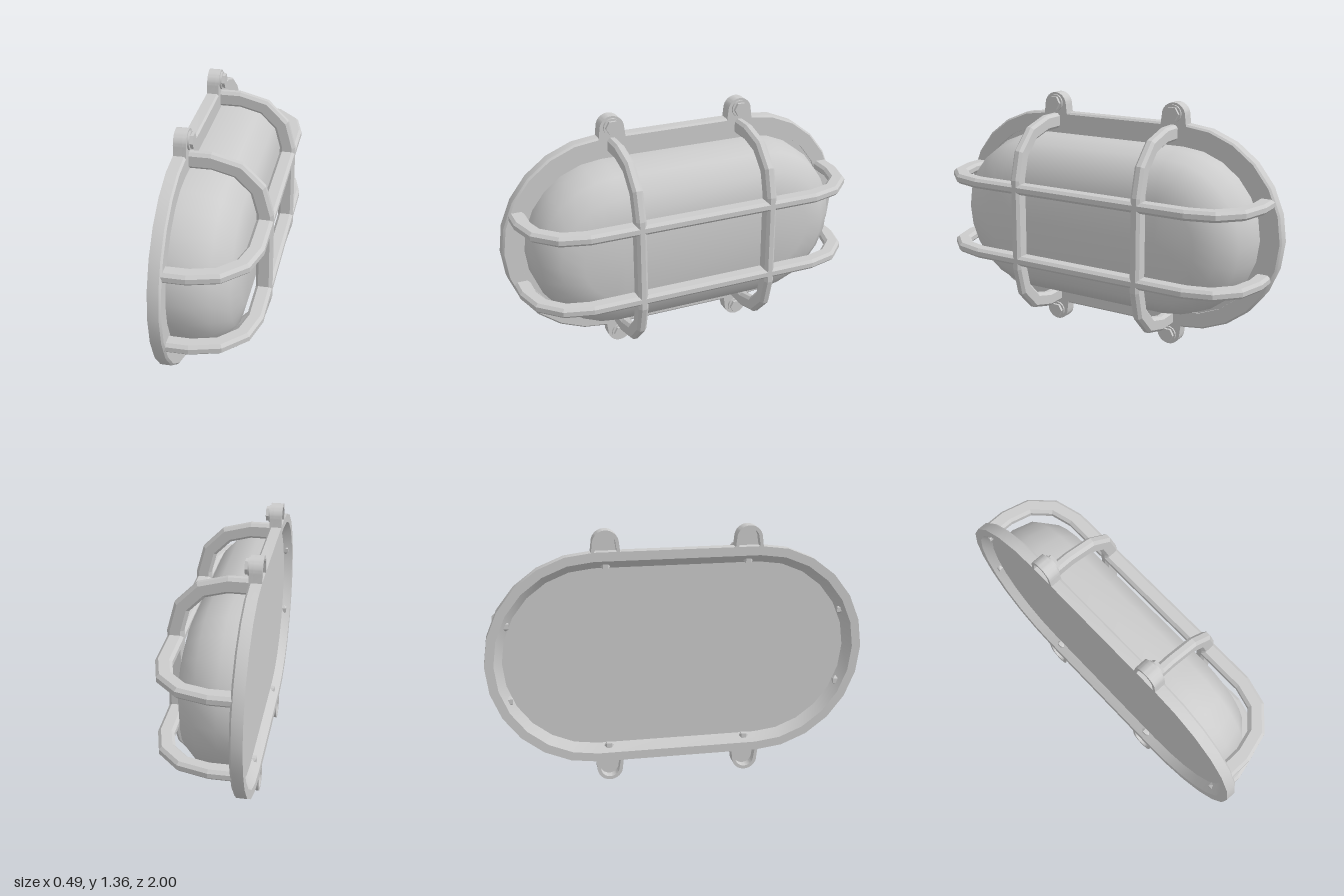
import * as THREE from 'three';
import { toCreasedNormals } from 'three/addons/utils/BufferGeometryUtils.js';

const MID_Y = 0.68;   // height of the lamp's long axis
const END_Z = 0.43;   // centre of each rounded end
const BAR_Z = 0.37;   // position of the upright bars and lugs
const BAR_Y = 0.203;  // offset of the lengthwise bars

const material = new THREE.MeshStandardMaterial({ color: 0xcccccc });

function addMesh(parent, name, geometry) {
  const mesh = new THREE.Mesh(geometry, material);
  mesh.name = name;
  parent.add(mesh);
  return mesh;
}

// Sweeps a profile of [x, radius] around a stadium outline in the yz plane
function stadiumLoft(profile, crease) {
  const steps = 12, positions = [], index = [];
  const loop = 2 * (steps + 1);
  for (const [x, r] of profile) {
    for (const end of [1, -1]) {
      for (let i = 0; i <= steps; i++) {
        const a = -Math.PI / 2 + Math.PI * i / steps;
        positions.push(x, end * r * Math.sin(a), end * (END_Z + r * Math.cos(a)));
      }
    }
  }
  for (let j = 0; j < profile.length - 1; j++) {
    for (let i = 0; i < loop; i++) {
      const k = (i + 1) % loop;
      const a = j * loop + i, b = j * loop + k;
      index.push(a, a + loop, b, b, a + loop, b + loop);
    }
  }
  const geometry = new THREE.BufferGeometry();
  geometry.setAttribute('position', new THREE.Float32BufferAttribute(positions, 3));
  geometry.setIndex(index);
  return toCreasedNormals(geometry, crease);
}

// Guard bar: arched strap with faceted corners and chamfered edges
function guardBar(half) {
  const outer = 0.31, inner = 0.225, cx = -0.07, c = half - outer, foot = -0.225;
  const shape = new THREE.Shape();
  const side = (r, s) => {
    const pts = [new THREE.Vector2(foot, s * (c + r))];
    for (let i = 0; i <= 3; i++) {
      const a = i * Math.PI / 6;
      pts.push(new THREE.Vector2(cx + r * Math.sin(a), s * (c + r * Math.cos(a))));
    }
    return pts;
  };
  shape.setFromPoints([
    ...side(outer, -1), ...side(outer, 1).reverse(),
    ...side(inner, 1), ...side(inner, -1).reverse(),
  ]);
  const bevel = 0.015, width = 0.055;
  const geometry = new THREE.ExtrudeGeometry(shape, {
    depth: width - 2 * bevel, bevelEnabled: true, bevelSegments: 1,
    bevelThickness: bevel, bevelSize: bevel, bevelOffset: -bevel,
  });
  return geometry.translate(0, 0, -(width / 2 - bevel));
}

// Rounded lug outline, open side towards the rim
function lugPath(target, inset) {
  const r = 0.068 - inset, w = 0.077 - inset;
  target.moveTo(-w, 0.54 + inset);
  target.lineTo(w, 0.54 + inset);
  target.lineTo(r, 0.612);
  target.absarc(0, 0.612, r, 0, Math.PI, false);
  target.closePath();
  return target;
}

// Mounting lug with hollow back and hexagonal bolt
function makeLug() {
  const lug = new THREE.Group();
  lug.name = 'mountingLug';
  const extrude = (shape, depth, x) =>
    toCreasedNormals(new THREE.ExtrudeGeometry(shape, { depth, bevelEnabled: false, curveSegments: 12 })
      .rotateY(Math.PI / 2).translate(x, 0, 0), 0.6);
  const wall = lugPath(new THREE.Shape(), 0);
  wall.holes.push(lugPath(new THREE.Path(), 0.018));
  addMesh(lug, 'lugWall', extrude(wall, 0.045, -0.245));
  addMesh(lug, 'lugFace', extrude(lugPath(new THREE.Shape(), 0), 0.02, -0.2));
  const disc = (name, r, length, x, sides) =>
    addMesh(lug, name, toCreasedNormals(new THREE.CylinderGeometry(r, r, length, sides)
      .rotateZ(-Math.PI / 2).translate(x + length / 2, 0.622, 0), 0.6));
  disc('washer', 0.047, 0.012, -0.182, 20);
  disc('boltHead', 0.04, 0.028, -0.182, 6);
  return lug;
}

export function createModel() {
  const model = new THREE.Group();
  model.name = 'bulkheadLamp';
  const body = new THREE.Group();
  body.name = 'lampBody';
  body.position.y = MID_Y;
  model.add(body);

  // Rim with a sloped inner wall at the back
  addMesh(body, 'baseRim', stadiumLoft([
    [-0.245, 0.57], [-0.19, 0.57], [-0.18, 0.56], [-0.18, 0.48],
    [-0.2, 0.48], [-0.245, 0.523], [-0.245, 0.57],
  ], 0.5));

  // Glass cover, closed at the back by a flat plate
  addMesh(body, 'glassCover', stadiumLoft([
    [-0.2, 0], [-0.2, 0.485], [-0.19, 0.485], [-0.19, 0.45], [-0.1, 0.45],
    [0.015, 0.42], [0.1, 0.335], [0.13, 0.22], [0.13, 0],
  ], 0.8));

  // Guard cage: two upright and two lengthwise bars, lugs beside the uprights
  for (const s of [-1, 1]) {
    addMesh(body, 'uprightGuardBar', guardBar(0.563)).position.z = s * BAR_Z;
    addMesh(body, 'lengthwiseGuardBar', guardBar(0.95).rotateX(Math.PI / 2)).position.y = s * BAR_Y;
    for (const turn of [0, Math.PI]) {
      const lug = makeLug();
      lug.rotation.x = turn;
      lug.position.z = s * BAR_Z;
      body.add(lug);
    }
  }
  return model;
}
